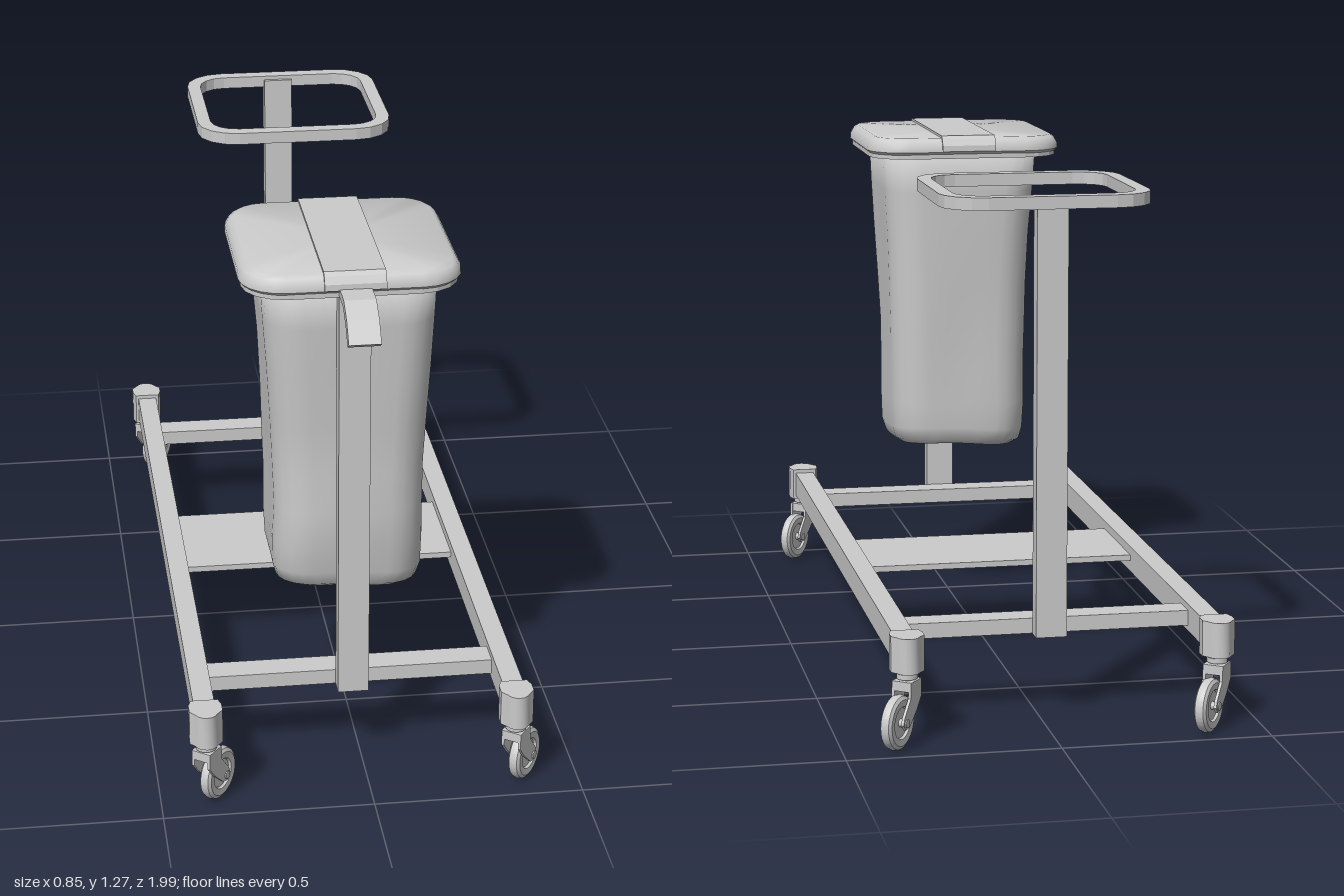
import * as THREE from 'three';
import { toCreasedNormals } from 'three/addons/utils/BufferGeometryUtils.js';

const CX = -0.025; // middle line of the cart
const mat = new THREE.MeshStandardMaterial({ color: 0xcccccc });

function add(parent, name, geo, x = 0, y = 0, z = 0) {
  const m = new THREE.Mesh(geo, mat);
  m.name = name;
  m.position.set(x, y, z);
  parent.add(m);
  return m;
}

// Box given by its limits on each axis
function bar(parent, name, x0, x1, y0, y1, z0, z1) {
  return add(parent, name, new THREE.BoxGeometry(x1 - x0, y1 - y0, z1 - z0),
    (x0 + x1) / 2, (y0 + y1) / 2, (z0 + z1) / 2);
}

// Rounded rectangle outline as [x, z] points
function outline(hx, hz, r, seg, edge = 1) {
  const pts = [];
  const corners = [[1, 1], [-1, 1], [-1, -1], [1, -1]];
  corners.forEach(([sx, sz], k) => {
    for (let i = 0; i <= seg; i++) {
      const a = (k + i / seg) * Math.PI / 2;
      pts.push([sx * (hx - r) + Math.cos(a) * r, sz * (hz - r) + Math.sin(a) * r]);
    }
    const [nx, nz] = corners[(k + 1) % 4];
    const a = (k + 1) * Math.PI / 2;
    const p = pts[pts.length - 1];
    const q = [nx * (hx - r) + Math.cos(a) * r, nz * (hz - r) + Math.sin(a) * r];
    for (let i = 1; i < edge; i++) {
      const t = i / edge;
      pts.push([p[0] + (q[0] - p[0]) * t, p[1] + (q[1] - p[1]) * t]);
    }
  });
  return pts;
}

// Closed skin over rings of [x, y, z] points, lowest ring first
function loft(rings) {
  const n = rings[0].length, pos = rings.flat(2), idx = [];
  for (let i = 0; i < rings.length - 1; i++) {
    for (let j = 0; j < n; j++) {
      const a = i * n + j, b = i * n + (j + 1) % n, c = a + n, d = b + n;
      idx.push(a, c, b, b, c, d);
    }
  }
  [rings[0], rings[rings.length - 1]].forEach((ring, end) => {
    const c = pos.length / 3, base = end ? (rings.length - 1) * n : 0;
    for (let k = 0; k < 3; k++) pos.push(ring.reduce((s, p) => s + p[k], 0) / n);
    for (let j = 0; j < n; j++) {
      const p = base + j, q = base + (j + 1) % n;
      idx.push(...(end ? [c, q, p] : [c, p, q]));
    }
  });
  const g = new THREE.BufferGeometry();
  g.setAttribute('position', new THREE.Float32BufferAttribute(pos, 3));
  g.setIndex(idx);
  g.computeVertexNormals();
  return g;
}

const toVec = (pts) => pts.map(([x, y]) => new THREE.Vector2(x, y));

// Profile drawn in (z, y), extruded along x and centred on it
function sideExtrude(pts, width) {
  const g = new THREE.ExtrudeGeometry(new THREE.Shape(toVec(pts)), { depth: width, bevelEnabled: false });
  g.translate(0, 0, -width / 2);
  return g.rotateY(-Math.PI / 2);
}

// Flat hoop holding a bag
function hoop(parent, z) {
  const shape = new THREE.Shape(toVec(outline(0.251, 0.251, 0.1, 4)));
  shape.holes.push(new THREE.Path(toVec(outline(0.217, 0.214, 0.07, 4))));
  const g = new THREE.ExtrudeGeometry(shape, { depth: 0.03, bevelEnabled: false });
  g.rotateX(-Math.PI / 2);
  add(parent, 'bagHoop', g, CX, 1.215, z);
}

// Swivel wheel; its local +z is the trailing direction
function caster(parent, x, z) {
  const c = new THREE.Group();
  c.name = 'caster';
  c.position.set(x, 0, z);
  c.rotation.y = Math.atan2(0.6, -0.8);
  add(c, 'casterStem', new THREE.CylinderGeometry(0.016, 0.016, 0.06, 16), 0, 0.165, 0);
  add(c, 'casterCollar', new THREE.CylinderGeometry(0.025, 0.025, 0.012, 16), 0, 0.164, 0);
  bar(c, 'forkCrown', -0.024, 0.024, 0.132, 0.155, -0.024, 0.028);
  const plate = [[-0.024, 0.155], [-0.024, 0.115], [0.0, 0.085], [0.035, 0.053],
    [0.055, 0.05], [0.066, 0.064], [0.06, 0.08], [0.03, 0.118], [0.028, 0.155]];
  for (const s of [-1, 1]) add(c, 'forkPlate', sideExtrude(plate, 0.007), s * 0.0215, 0, 0);
  const tyre = [[0, -0.008], [0.035, -0.008], [0.038, -0.014], [0.054, -0.015], [0.062, -0.01],
    [0.065, 0], [0.062, 0.01], [0.054, 0.015], [0.038, 0.014], [0.035, 0.008], [0, 0.008]];
  const wheel = toCreasedNormals(new THREE.LatheGeometry(toVec(tyre), 32), 0.6);
  add(c, 'wheel', wheel.rotateZ(Math.PI / 2), 0, 0.065, 0.05);
  const axle = new THREE.CylinderGeometry(0.01, 0.01, 0.056, 12);
  add(c, 'axle', axle.rotateZ(Math.PI / 2), 0, 0.065, 0.05);
  parent.add(c);
}

// Rail end cap with a rounded nose pointing along dir
function endCap(parent, x, z, dir) {
  const pts = [[-0.032, -0.043], [0.032, -0.043], [0.039, -0.02], [0.039, 0.008]];
  for (let i = 0; i <= 6; i++) {
    const a = 0.3 + (i / 6) * (Math.PI - 0.6);
    pts.push([Math.cos(a) * 0.027, 0.016 + Math.sin(a) * 0.027]);
  }
  pts.push([-0.039, 0.008], [-0.039, -0.02]);
  const g = new THREE.ExtrudeGeometry(new THREE.Shape(toVec(pts)),
    { depth: 0.085, bevelEnabled: false });
  g.rotateX(-Math.PI / 2);
  const m = add(parent, 'endCap', toCreasedNormals(g, 0.5), x, 0.175, z);
  if (dir > 0) m.rotation.y = Math.PI;
}

// Soft hanging bag: rings of [y, x0, x1, z0, z1, corner]
function bag(parent) {
  const levels = [
    [0.428, -0.12, 0.08, 0.44, 0.65, 0.06], [0.424, -0.17, 0.13, 0.39, 0.70, 0.08],
    [0.438, -0.192, 0.15, 0.37, 0.72, 0.09], [0.47, -0.2, 0.16, 0.363, 0.727, 0.09],
    [0.54, -0.203, 0.162, 0.36, 0.738, 0.09], [0.64, -0.2, 0.162, 0.358, 0.747, 0.09],
    [0.74, -0.203, 0.164, 0.356, 0.738, 0.09], [0.86, -0.207, 0.168, 0.354, 0.746, 0.09],
    [1.0, -0.214, 0.174, 0.35, 0.756, 0.09], [1.12, -0.223, 0.18, 0.347, 0.762, 0.09],
    [1.235, -0.23, 0.184, 0.345, 0.767, 0.09]];
  const rings = levels.map(([y, x0, x1, z0, z1, r], i) => {
    const cx = (x0 + x1) / 2, cz = (z0 + z1) / 2;
    return outline((x1 - x0) / 2, (z1 - z0) / 2, r, 5, 4).map(([x, z]) => {
      const a = Math.atan2(z, x), mid = Math.sin(Math.PI * i / 10);
      const k = 1 - 0.02 * mid * (0.5 + 0.5 * Math.sin(3 * a + y * 9)); // creases
      const sag = i < 4 ? 0.008 * Math.sin(2 * a + 0.8) : 0;
      return [cx + x * k, y - sag, cz + z * k];
    });
  });
  add(parent, 'bag', loft(rings));
}

function lid(parent, z) {
  const g = new THREE.Group();
  g.name = 'lid';
  g.position.set(CX, 0, z);
  const prof = [[0.25, 1.226], [0.257, 1.233], [0.256, 1.247], [0.247, 1.262], [0.236, 1.269]];
  const rings = prof.map(([h, y]) => outline(h, h, h - 0.155, 5).map(([x, w]) => [x, y, w]));
  add(g, 'lidShell', toCreasedNormals(loft(rings), 0.6));
  // Raised strip running over the lid from front to back
  const half = [[0.255, 1.232], [0.262, 1.235], [0.261, 1.25], [0.251, 1.267], [0.24, 1.275]];
  const strip = [...half, ...half.map(([w, y]) => [-w, y]).reverse()];
  add(g, 'lidStrip', sideExtrude(strip, 0.142));
  parent.add(g);
}

export function createModel() {
  const cart = new THREE.Group();
  cart.name = 'wasteCart';

  // Base frame
  for (const x of [-0.393, 0.343]) {
    bar(cart, 'sideRail', x - 0.025, x + 0.025, 0.185, 0.25, -0.9, 0.96);
    for (const [z, dir] of [[0.955, 1], [-0.9, -1]]) {
      endCap(cart, x, z, dir);
      caster(cart, x, z);
    }
  }
  for (const z of [0.727, -0.685])
    bar(cart, 'crossBar', -0.368, 0.318, 0.198, 0.235, z - 0.035, z + 0.035);
  bar(cart, 'platform', -0.368, 0.318, 0.213, 0.228, -0.13, 0.17);

  // Posts and hoops
  bar(cart, 'frontPost', CX - 0.037, CX + 0.037, 0.197, 1.235, 0.762, 0.805);
  bar(cart, 'backPost', CX - 0.037, CX + 0.037, 0.197, 1.235, -0.762, -0.72);
  hoop(cart, 0.553);
  hoop(cart, -0.516);

  // Bag, lid and the curved front handle
  bag(cart);
  lid(cart, 0.553);
  const handle = [[0.79, 1.238], [0.79, 1.22], [0.87, 1.217], [0.912, 1.19], [0.945, 1.152],
    [0.966, 1.165], [0.93, 1.21], [0.88, 1.238]];
  add(cart, 'handle', sideExtrude(handle, 0.074), CX);
  return cart;
}
